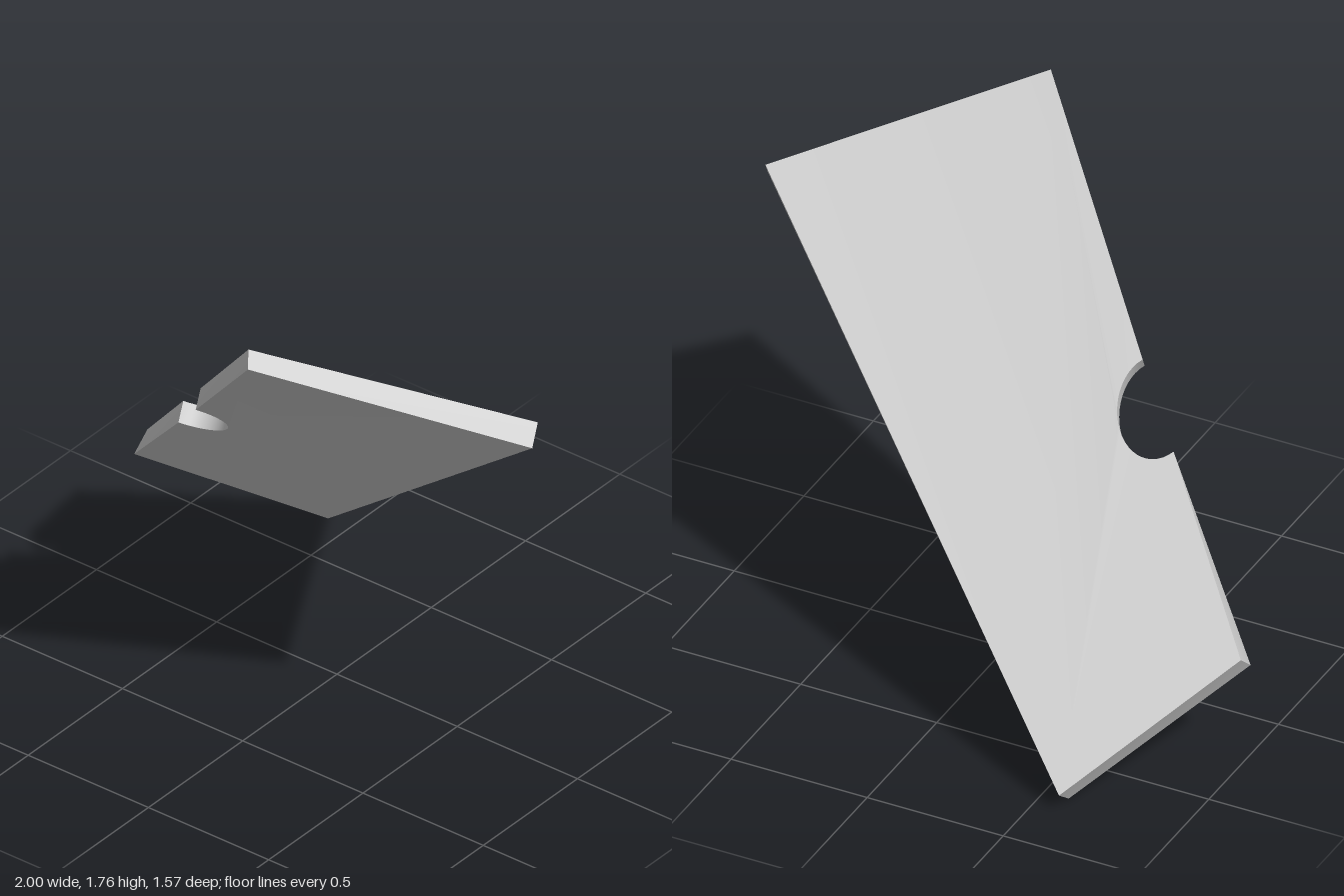
import * as THREE from 'three';
import { toCreasedNormals } from 'three/addons/utils/BufferGeometryUtils.js';

// Outline of one face of the slab: four corners and a round bite in one long edge.
function outline([a, b, c, d], [cx, cy, cz], radius, steps) {
  const bite = [];
  for (let i = 0; i <= steps; i++) {
    const t = THREE.MathUtils.degToRad(-147 + (192 * i) / steps);
    // The bite is round in plan; its height follows the slope of the face.
    const r = radius + 0.01 * Math.pow(1 - i / steps, 4);
    const dx = r * Math.cos(t), dz = r * Math.sin(t);
    bite.push([cx + dx, cy + 0.326 * dx + 0.949 * dz, cz + dz]);
  }
  return [a, b, ...bite, c, d];
}

// Closed solid between two matching outlines, counter-clockwise from above.
function solidBetween(lower, upper) {
  const n = lower.length;
  const plan = upper.map(([x, , z]) => new THREE.Vector2(x, -z));
  const index = [];
  for (const [a, b, c] of THREE.ShapeUtils.triangulateShape(plan, [])) {
    index.push(n + a, n + b, n + c, c, b, a);
  }
  for (let i = 0; i < n; i++) {
    const j = (i + 1) % n;
    index.push(i, j, n + j, i, n + j, n + i);
  }
  const geometry = new THREE.BufferGeometry();
  geometry.setAttribute('position', new THREE.Float32BufferAttribute([...lower, ...upper].flat(), 3));
  geometry.setIndex(index);
  return toCreasedNormals(geometry, THREE.MathUtils.degToRad(25));
}

export function createModel() {
  const group = new THREE.Group();
  group.name = 'notchedSlab';

  // Underside
  const lower = outline(
    [[-0.59, 0, -0.705], [-1, 0.35, -0.2], [0.245, 1.71, 0.785], [1, 1.425, 0.24]],
    [-0.445, 0.935, 0.205], 0.12, 24);
  // Upper face
  const upper = outline(
    [[-0.595, 0.06, -0.785], [-1, 0.41, -0.27], [0.22, 1.76, 0.75], [0.98, 1.49, 0.185]],
    [-0.46, 0.99, 0.16], 0.12, 24);

  const slab = new THREE.Mesh(
    solidBetween(lower, upper),
    new THREE.MeshStandardMaterial({ color: 0xcccccc }));
  slab.name = 'slab';
  group.add(slab);
  return group;
}
